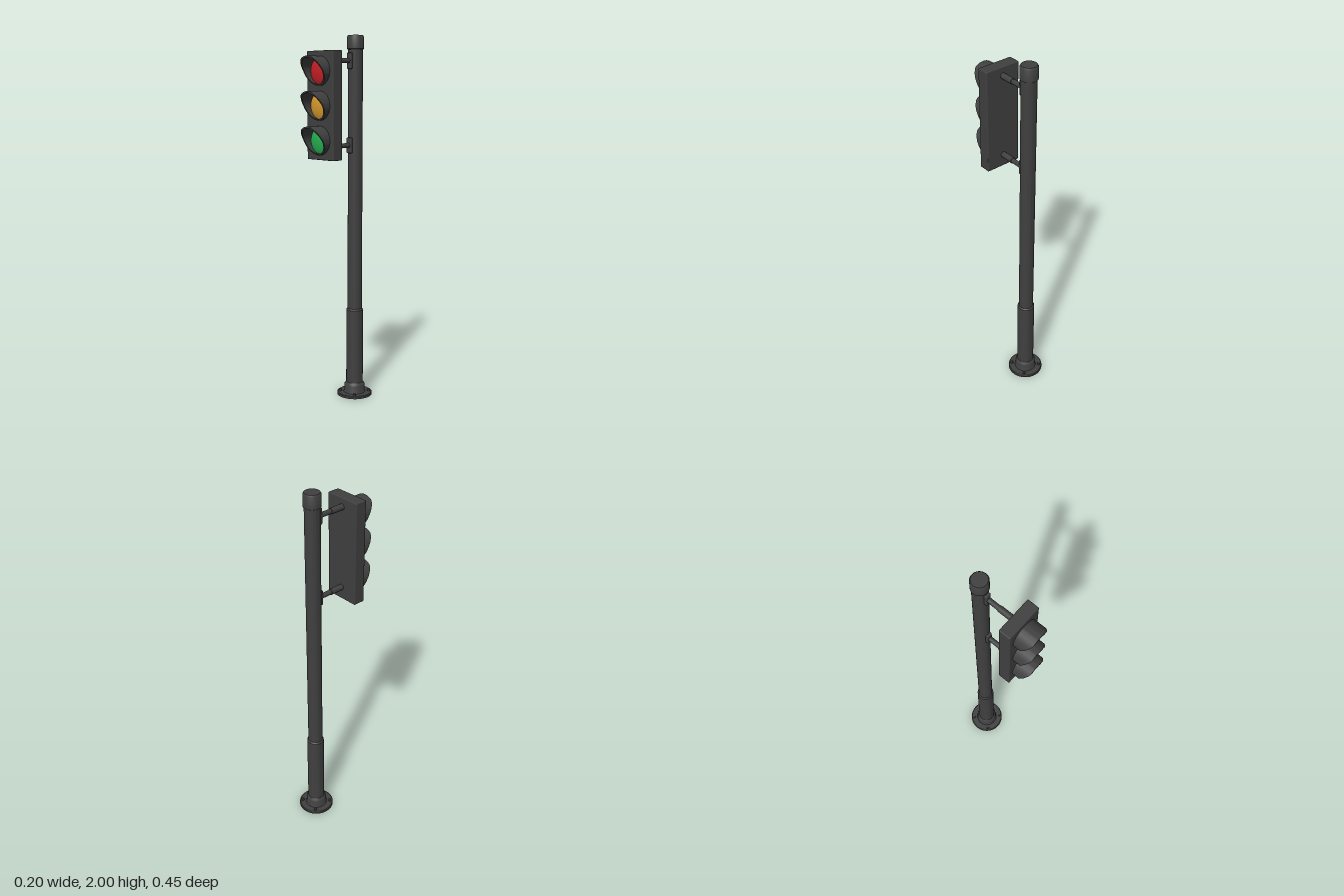
import * as THREE from 'three';
import { toCreasedNormals } from 'three/addons/utils/BufferGeometryUtils.js';
import { RoundedBoxGeometry } from 'three/addons/geometries/RoundedBoxGeometry.js';

const POLE_Z = -0.127;
const mat = (name, color) => {
  const m = new THREE.MeshStandardMaterial({ color });
  m.name = name;
  return m;
};

function add(parent, name, geometry, material, x = 0, y = 0, z = 0) {
  const mesh = new THREE.Mesh(geometry, material);
  mesh.name = name;
  mesh.position.set(x, y, z);
  parent.add(mesh);
  return mesh;
}

// Revolved profile with sharp edges kept sharp
const lathe = (points, segments = 40) =>
  toCreasedNormals(new THREE.LatheGeometry(points.map(([r, y]) => new THREE.Vector2(r, y)), segments), 0.6);

// Tube around the lens whose front rim is cut back towards the bottom
function visorGeometry() {
  const geo = new THREE.LatheGeometry(
    [[0.068, 0], [0.076, 0], [0.076, 1], [0.068, 1], [0.068, 0]].map(([r, y]) => new THREE.Vector2(r, y)), 64);
  geo.rotateX(Math.PI / 2);
  const p = geo.attributes.position;
  for (let i = 0; i < p.count; i++) {
    if (p.getZ(i) < 0.5) continue;
    const d = p.getY(i);
    p.setZ(i, Math.min(0.092, 0.05 + d * (d > 0 ? 0.7 : 0.47)));
  }
  return toCreasedNormals(geo, 0.6);
}

export function createModel() {
  const model = new THREE.Group();
  model.name = 'trafficLight';
  const metal = mat('darkMetal', 0x404041);
  const red = mat('redLens', 0xc82127);
  const amber = mat('amberLens', 0xd99b2b);
  const green = mat('greenLens', 0x27b252);

  // Pole, from the foot plate up to the cap
  const post = new THREE.Group();
  post.name = 'post';
  post.position.z = POLE_Z;
  model.add(post);
  add(post, 'footPlate', lathe([[0, 0], [0.098, 0], [0.098, 0.012], [0.094, 0.015], [0, 0.015]], 48), metal);
  add(post, 'footCollar', lathe([[0.062, 0.014], [0.058, 0.022], [0.057, 0.06], [0.047, 0.074]]), metal);
  add(post, 'lowerSleeve', lathe([[0.047, 0.014], [0.047, 0.495], [0.04, 0.503]]), metal);
  add(post, 'pole', lathe([[0.04, 0.49], [0.04, 1.935]]), metal);
  add(post, 'cap', lathe([[0.04, 1.925], [0.045, 1.928], [0.045, 1.992], [0.04, 2], [0, 2]]), metal);
  for (const x of [-1, 1]) for (const z of [-1, 1]) {
    add(post, 'footBolt', new THREE.CylinderGeometry(0.008, 0.009, 0.012, 6), metal, x * 0.057, 0.02, z * 0.057);
  }

  // Two arms with a saddle at the pole and a flange at the housing
  for (const y of [1.865, 1.415]) {
    const arm = new THREE.Group();
    arm.name = 'mountingArm';
    arm.position.y = y;
    model.add(arm);
    const rod = (name, r, z0, z1) => {
      const geo = new THREE.CylinderGeometry(r, r, z1 - z0, 20).rotateX(Math.PI / 2);
      add(arm, name, geo, metal, 0, 0, (z0 + z1) / 2);
    };
    rod('armRod', 0.013, -0.1, 0.07);
    rod('armSleeve', 0.016, -0.01, 0.07);
    add(arm, 'poleSaddle', new RoundedBoxGeometry(0.032, 0.085, 0.022, 2, 0.005), metal, 0, 0, -0.086);
  }

  // Signal head
  const head = new THREE.Group();
  head.name = 'signalHead';
  head.position.set(0, 1.63, 0.1);
  model.add(head);
  add(head, 'housing', new RoundedBoxGeometry(0.2, 0.565, 0.066, 2, 0.005), metal);

  const visor = visorGeometry();
  const lens = new THREE.LatheGeometry(
    [[0.069, 0], [0.06, 0.005], [0.042, 0.01], [0.02, 0.013], [0, 0.014]].map(([r, y]) => new THREE.Vector2(r, y)), 40);
  lens.rotateX(Math.PI / 2);
  [['red', red, 0.179], ['amber', amber, 0], ['green', green, -0.181]].forEach(([name, material, y]) => {
    add(head, name + 'Visor', visor, metal, 0, y, 0.03);
    add(head, name + 'Lens', lens, material, 0, y, 0.034);
  });
  return model;
}
